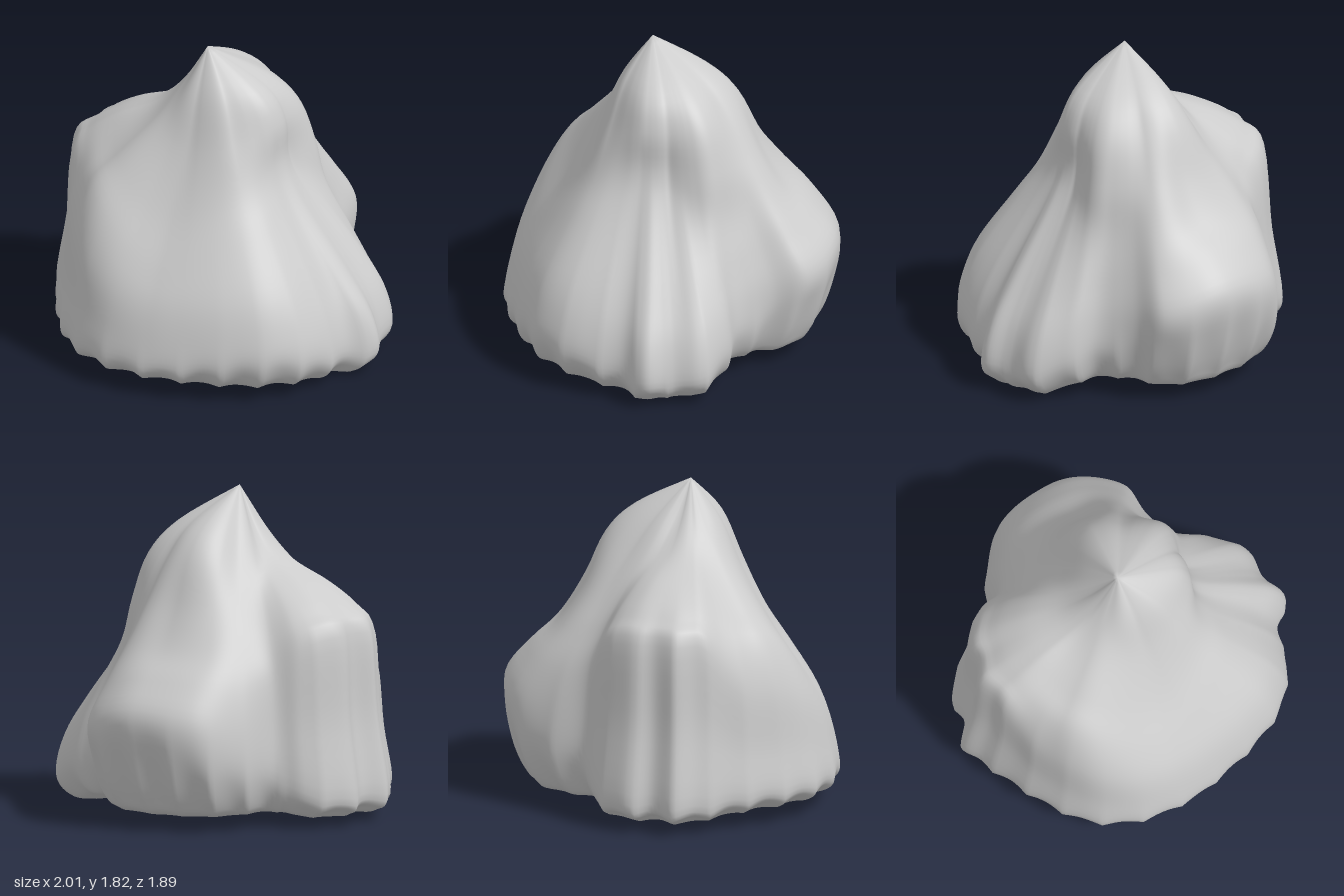
import * as THREE from 'three';

const APEX = { x: -0.05, y: 1.83, z: 0.11 };

// Widest outline seen from above (x, z): front, right, back, left
const OUTLINE = [
  [0, 0.94], [-0.3, 0.93], [-0.55, 0.82], [-0.73, 0.62], [-0.87, 0.38], [-0.95, 0.22], [-1.01, 0.1],
  [-0.94, -0.05], [-0.94, -0.2], [-0.75, -0.39], [-0.6, -0.44], [-0.5, -0.66], [-0.32, -0.87],
  [0.05, -0.94], [0.25, -0.9], [0.42, -0.78], [0.47, -0.6], [0.6, -0.42], [0.78, -0.36],
  [0.95, -0.22], [0.95, -0.05], [1.02, 0.07], [0.9, 0.22], [0.82, 0.5], [0.67, 0.7], [0.45, 0.82], [0.2, 0.9],
];

// Profiles from apex to hem: (fraction of the outline's reach, height)
const FRONT = [[0.2, 1.6], [0.36, 1.3], [0.57, 0.98], [0.78, 0.72], [0.9, 0.54], [0.97, 0.34], [1, 0.17], [0.93, 0.1]];
const FRONT_RIGHT = [[0.17, 1.6], [0.35, 1.41], [0.62, 1.19], [0.8, 1.04], [0.91, 0.78], [0.95, 0.45], [1, 0.18], [0.93, 0.1]];
const RIGHT = [[0.16, 1.6], [0.34, 1.44], [0.6, 1.32], [0.79, 1.2], [0.9, 1.07], [0.93, 0.6], [1, 0.16], [0.93, 0.07]];
const BACK_RIGHT = [[0.25, 1.62], [0.45, 1.4], [0.63, 1.19], [0.77, 1.02], [0.9, 0.82], [0.98, 0.57], [1, 0.32], [0.92, 0.14]];
const BACK = [[0.3, 1.67], [0.47, 1.5], [0.6, 1.2], [0.72, 1.0], [0.87, 0.85], [1, 0.66], [0.97, 0.4], [0.89, 0.17]];
const BACK_LEFT = [[0.33, 1.65], [0.5, 1.47], [0.66, 1.2], [0.77, 1.0], [0.89, 0.8], [1, 0.59], [0.98, 0.38], [0.9, 0.16]];
const VALLEY = [[0.38, 1.64], [0.58, 1.46], [0.69, 1.2], [0.76, 0.95], [0.88, 0.7], [0.97, 0.48], [1, 0.27], [0.93, 0.12]];
const LEFT = [[0.33, 1.62], [0.44, 1.43], [0.46, 1.2], [0.55, 1.0], [0.81, 0.62], [0.95, 0.37], [1, 0.13], [0.92, 0.03]];
const FRONT_LEFT = [[0.25, 1.62], [0.4, 1.35], [0.53, 1.1], [0.68, 0.9], [0.89, 0.62], [0.98, 0.4], [1, 0.23], [0.93, 0.1]];

// Which outline point each profile belongs to
const KEYS = [
  [0, FRONT], [3, FRONT_RIGHT], [5, RIGHT], [8, RIGHT], [11, BACK_RIGHT], [13, BACK], [15, BACK_LEFT],
  [17, VALLEY], [19.5, LEFT], [21.5, LEFT], [24, FRONT_LEFT], [27, FRONT],
];

function profileAt(u) {
  let k = 0;
  while (u >= KEYS[k + 1][0]) k++;
  const [u0, a] = KEYS[k];
  const [u1, b] = KEYS[k + 1];
  const t = THREE.MathUtils.smoothstep(u, u0, u1);
  const mix = (p, q) => p + (q - p) * t;
  const pts = a.map((p, i) => new THREE.Vector2(mix(p[0], b[i][0]), mix(p[1], b[i][1])));
  const hem = pts[pts.length - 1];
  // Apex first, then the underside closing to its middle
  pts.unshift(new THREE.Vector2(0, APEX.y));
  pts.push(new THREE.Vector2(0.78, Math.min(0.08, hem.y - 0.02)), new THREE.Vector2(0.4, 0.09), new THREE.Vector2(0, 0.11));
  return new THREE.SplineCurve(pts);
}

function buildBody() {
  const AROUND = 260, DOWN = 55, FOLDS = 26;
  const outline = new THREE.CatmullRomCurve3(
    OUTLINE.map(([x, z]) => new THREE.Vector3(x, 0, z)), true, 'centripetal');
  // Outline averaged over its neighbourhood, for the calmer upper part
  const softRim = (t) => {
    const sum = new THREE.Vector3();
    for (let k = -3; k <= 3; k++) sum.add(outline.getPointAt((t + k * 0.015 + 1) % 1));
    return sum.divideScalar(7);
  };
  const positions = [], indices = [];
  for (let i = 0; i < AROUND; i++) {
    const t = i / AROUND;
    const rim = outline.getPointAt(t);
    const soft = softRim(t);
    const profile = profileAt(outline.getUtoTmapping(t) * OUTLINE.length);
    const scallop = Math.abs(Math.sin(Math.PI * (FOLDS * t - 0.2)));
    const sideways = Math.abs(rim.x) ** 3;
    for (let j = 0; j <= DOWN; j++) {
      const v = j / DOWN;
      const p = profile.getPoint(v);
      // Folds are strongest at the hem, fading upward and beneath
      const hem = Math.exp(-(((v - 0.69) / 0.09) ** 2));
      const upper = sideways * Math.exp(-(((v - 0.5) / 0.12) ** 2));
      const f = p.x * (1 - scallop * (0.02 * hem + 0.015 * upper));
      const r = soft.clone().lerp(rim, THREE.MathUtils.smoothstep(v, 0.2, 0.6));
      positions.push(
        APEX.x + (r.x - APEX.x) * f,
        Math.max(0, p.y + 0.025 * scallop * hem),
        APEX.z + (r.z - APEX.z) * f);
      if (j === DOWN) continue;
      const a = i * (DOWN + 1) + j;
      const b = ((i + 1) % AROUND) * (DOWN + 1) + j;
      if (j > 0) indices.push(a, b, a + 1);
      if (j < DOWN - 1) indices.push(b, b + 1, a + 1);
    }
  }
  // Share one vertex at the apex and one under the middle
  const shared = indices.map((n) => {
    const j = n % (DOWN + 1);
    return j === 0 ? 0 : j === DOWN ? DOWN : n;
  });
  const geometry = new THREE.BufferGeometry();
  geometry.setAttribute('position', new THREE.Float32BufferAttribute(positions, 3));
  geometry.setIndex(shared);
  geometry.computeVertexNormals();
  return geometry;
}

export function createModel() {
  const group = new THREE.Group();
  group.name = 'foldedMound';
  const body = new THREE.Mesh(buildBody(), new THREE.MeshStandardMaterial({ color: 0xcccccc }));
  body.name = 'pleatedBody';
  group.add(body);
  return group;
}
